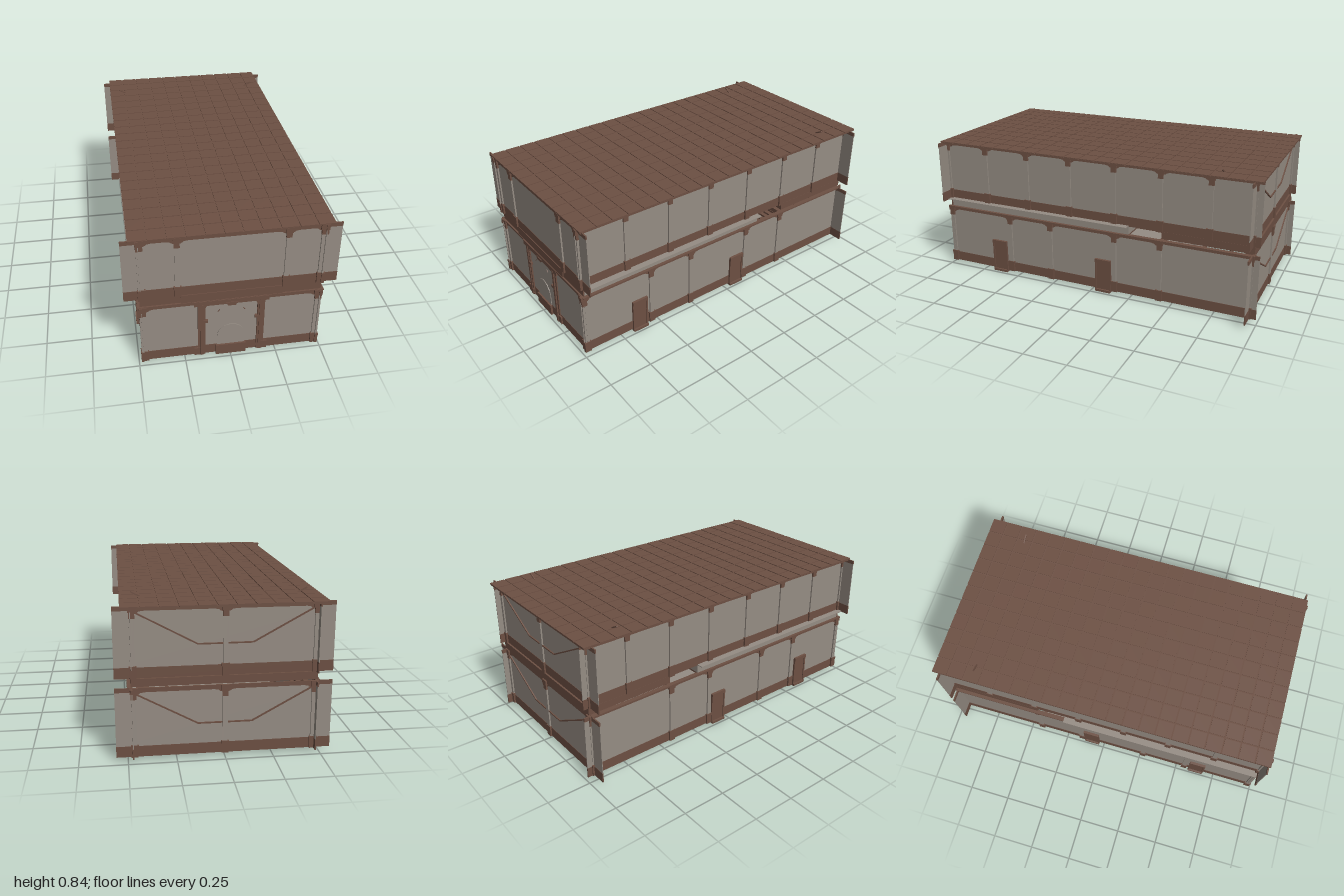
import * as THREE from 'three';

const plaster = new THREE.MeshStandardMaterial({ name: 'greyPlaster', color: 0x968d84 });
const wood = new THREE.MeshStandardMaterial({ name: 'brownWood', color: 0x6d5043 });

// box given by its minimum and maximum corners
function box(parent, name, mat, x0, x1, y0, y1, z0, z1) {
  const m = new THREE.Mesh(new THREE.BoxGeometry(x1 - x0, y1 - y0, z1 - z0), mat);
  m.name = name;
  m.position.set((x0 + x1) / 2, (y0 + y1) / 2, (z0 + z1) / 2);
  parent.add(m);
  return m;
}

// flat outline pushed out along +z
function plate(parent, name, mat, shape, depth) {
  const m = new THREE.Mesh(new THREE.ExtrudeGeometry(shape, { depth, bevelEnabled: false, curveSegments: 6 }), mat);
  m.name = name;
  parent.add(m);
}

// pilaster facing +z: grey shaft, stepped brown base and capital
function pilaster(parent, u, y0, y1) {
  const g = new THREE.Group();
  g.name = 'pilaster';
  box(g, 'shaft', plaster, u - 0.013, u + 0.013, y0 + 0.06, y1 - 0.05, -0.004, 0.009);
  box(g, 'base', wood, u - 0.018, u + 0.018, y0, y0 + 0.05, -0.004, 0.012);
  box(g, 'baseRing', wood, u - 0.02, u + 0.02, y0 + 0.05, y0 + 0.066, -0.004, 0.013);
  box(g, 'neck', wood, u - 0.015, u + 0.015, y1 - 0.06, y1 - 0.03, -0.004, 0.011);
  box(g, 'capital', wood, u - 0.02, u + 0.02, y1 - 0.03, y1, -0.004, 0.013);
  parent.add(g);
}

// thin carved fringe under the cornice, deeper next to the pilasters
function fringe(parent, a, b, y) {
  const s = new THREE.Shape();
  s.moveTo(a, y);
  s.lineTo(a, y - 0.018);
  s.quadraticCurveTo(a + 0.028, y - 0.016, a + 0.034, y - 0.006);
  s.lineTo(a + 0.055, y - 0.002);
  s.lineTo(b - 0.055, y - 0.002);
  s.lineTo(b - 0.034, y - 0.006);
  s.quadraticCurveTo(b - 0.028, y - 0.016, b, y - 0.018);
  s.lineTo(b, y);
  plate(parent, 'carvedFringe', wood, s, 0.003);
}

// one wall built along x with its outside towards +z
function wall(name, half, y0, y1, posts) {
  const g = new THREE.Group();
  g.name = name;
  box(g, 'plasterPanel', plaster, -half, half, y0 + 0.055, y1 - 0.02, -0.004, 0);
  box(g, 'skirting', wood, -half, half, y0, y0 + 0.058, -0.005, 0.002);
  box(g, 'cornice', wood, -half, half, y1 - 0.022, y1, -0.005, 0.003);
  for (const u of posts) pilaster(g, u, y0, y1);
  const s = [...posts].sort((a, b) => a - b);
  for (let i = 1; i < s.length; i++) fringe(g, s[i - 1], s[i], y1 - 0.021);
  return g;
}

// handrail with a level middle and rising ends
function handrail(parent, y, z, mid, top) {
  const pts = [[-0.46, top], [-0.14, mid], [0.14, mid], [0.46, top]];
  for (let i = 0; i < 3; i++) {
    const [ax, ay] = pts[i], [bx, by] = pts[i + 1];
    const m = new THREE.Mesh(new THREE.BoxGeometry(Math.hypot(bx - ax, by - ay), 0.007, 0.007), wood);
    m.name = 'handrail';
    m.position.set((ax + bx) / 2, y + (ay + by) / 2, z);
    m.rotation.z = Math.atan2(by - ay, bx - ax);
    parent.add(m);
  }
}

function sideDoor(parent, u) {
  const g = new THREE.Group();
  g.name = 'sideDoor';
  box(g, 'doorLeaf', wood, u - 0.042, u + 0.042, 0.012, 0.195, -0.004, 0.007);
  for (const s of [-1, 1]) box(g, 'doorJamb', wood, u + s * 0.045 - 0.005, u + s * 0.045 + 0.005, 0.01, 0.2, -0.004, 0.012);
  box(g, 'doorLintel', wood, u - 0.05, u + 0.05, 0.193, 0.213, -0.004, 0.015);
  box(g, 'doorStep', wood, u - 0.048, u + 0.048, 0.008, 0.022, -0.004, 0.018);
  parent.add(g);
}

function portal() {
  const g = new THREE.Group();
  g.name = 'portal';
  for (const s of [-1, 1]) {
    const at = (name, a, b, y0, y1, z1) =>
      box(g, name, wood, Math.min(s * a, s * b), Math.max(s * a, s * b), y0, y1, 0, z1);
    at('portalBand', 0.165, 0.18, 0.022, 0.38, 0.006);
    at('portalPost', 0.15, 0.166, 0.022, 0.375, 0.014);
    at('portalPostInner', 0.14, 0.15, 0.022, 0.375, 0.009);
    at('portalBracket', 0.126, 0.15, 0.25, 0.265, 0.014);
    at('postPlinth', 0.145, 0.2, 0.022, 0.07, 0.01);
    // carved corner under the lintel
    const c = new THREE.Shape();
    c.moveTo(s * 0.145, 0.368);
    c.lineTo(s * 0.145, 0.27);
    c.quadraticCurveTo(s * 0.135, 0.3, s * 0.14, 0.34);
    c.quadraticCurveTo(s * 0.135, 0.36, s * 0.12, 0.368);
    plate(g, 'carvedCorner', wood, c, 0.005);
    // small carved ornament above the door
    const o = new THREE.Shape();
    o.moveTo(s * 0.075, 0.312);
    o.lineTo(s * 0.062, 0.325);
    o.lineTo(s * 0.068, 0.312);
    plate(g, 'carvedOrnament', wood, o, 0.004);
  }
  box(g, 'portalLintel', wood, -0.2, 0.2, 0.366, 0.395, 0, 0.012);
  const key = new THREE.Shape();
  [[-0.033, 0.378], [-0.02, 0.356], [0.02, 0.356], [0.033, 0.378]].forEach(([x, y], i) => (i ? key.lineTo(x, y) : key.moveTo(x, y)));
  plate(g, 'keystone', wood, key, 0.015);
  box(g, 'threshold', wood, -0.082, 0.082, 0.014, 0.078, 0, 0.014);
  // arched door panel
  const a = new THREE.Shape();
  a.moveTo(-0.075, 0.07);
  a.lineTo(0.075, 0.07);
  a.lineTo(0.075, 0.14);
  a.absarc(0, 0.14, 0.075, 0, Math.PI, false);
  plate(g, 'archedDoor', plaster, a, 0.004);
  return g;
}

function staircase() {
  const g = new THREE.Group();
  g.name = 'staircase';
  // rounded foot of the stairs with a wooden rim
  const dais = new THREE.Mesh(new THREE.CylinderGeometry(0.22, 0.22, 0.012, 28, 1, false, Math.PI / 2, Math.PI), plaster);
  dais.name = 'roundedFoot';
  dais.position.set(0, 0.027, -0.43);
  const rim = new THREE.Mesh(new THREE.TorusGeometry(0.22, 0.006, 6, 28, Math.PI), wood);
  rim.name = 'roundedFootRim';
  rim.rotation.x = -Math.PI / 2;
  rim.position.copy(dais.position);
  g.add(dais, rim);
  // central flight, landing, then two side flights
  for (let i = 0; i < 6; i++) {
    const y = 0.045 + i * 0.013, z = -0.59 - i * 0.028;
    box(g, 'centralStep', wood, -0.14, 0.14, y - 0.013, y, z - 0.03, z);
  }
  box(g, 'landing', wood, -0.15, 0.15, 0.105, 0.118, -0.945, -0.75);
  for (const s of [-1, 1]) for (let i = 0; i < 13; i++) {
    const x = s * (0.16 + i * 0.023), y = 0.135 + i * 0.02;
    box(g, 'sideStep', wood, x - 0.0125, x + 0.0125, y - 0.02, y, -0.945, -0.77);
  }
  return g;
}

export function createModel() {
  const model = new THREE.Group();
  model.name = 'twoStoreyHall';

  const storeys = [
    { y0: 0.022, y1: 0.395, frontHalf: 0.485, front: [-0.465, 0.465], side: [0.975, 0.55, 0.27, -0.15, -0.43] },
    { y0: 0.445, y1: 0.815, frontHalf: 0.56, front: [-0.465, -0.283, 0.283, 0.465], side: [0.975, 0.7, 0.415, 0.135, -0.15, -0.43, -0.715] },
  ];
  storeys.forEach(({ y0, y1, frontHalf, front, side }, level) => {
    const f = wall('frontWall', frontHalf, y0, y1, front);
    f.position.z = 0.976;
    if (level === 0) f.add(portal());
    const b = wall('backWall', 0.56, y0, y1, [-0.465, 0, 0.465]);
    b.rotation.y = Math.PI;
    b.position.z = -0.953;
    handrail(b, y0, 0.004, 0.17, 0.345);
    model.add(f, b);
    for (const s of [-1, 1]) {
      const w = wall(s > 0 ? 'leftWall' : 'rightWall', 0.993, y0, y1, side.map((z) => -s * z));
      w.rotation.y = (s * Math.PI) / 2;
      w.position.x = s * 0.475;
      if (level === 0) for (const z of [0.63, -0.08]) sideDoor(w, -s * z);
      model.add(w);
    }
    handrail(model, y0, -0.76, 0.23, level ? 0.398 : 0.396);
  });

  // ground floor, open beneath the stairs
  box(model, 'groundFloor', plaster, -0.475, 0.475, 0.022, 0.03, -0.43, 0.976);
  box(model, 'floorEdgeBeam', wood, -0.475, 0.475, 0.021, 0.034, -0.45, -0.43);
  for (const s of [-1, 1]) {
    const x = s * 0.142;
    box(model, 'stairPostFoot', wood, x - 0.019, x + 0.019, 0.002, 0.085, -0.456, -0.405);
    box(model, 'stairPost', plaster, x - 0.012, x + 0.012, 0.085, 0.345, -0.45, -0.426);
    box(model, 'stairPostCapital', wood, x - 0.019, x + 0.019, 0.34, 0.395, -0.456, -0.42);
  }
  box(model, 'stairBeam', wood, -0.475, 0.475, 0.37, 0.395, -0.45, -0.426);
  model.add(staircase());

  // ceiling ledge and floor between the storeys, with a gap over the stairs
  box(model, 'lowerCeiling', wood, -0.495, 0.495, 0.388, 0.397, -0.24, 0.985);
  for (const s of [-1, 1]) box(model, 'ceilingLedge', wood, s * 0.482 - 0.013, s * 0.482 + 0.013, 0.388, 0.397, -0.953, -0.24);
  box(model, 'upperFloorCore', plaster, -0.478, 0.478, 0.397, 0.446, -0.24, 0.968);
  box(model, 'upperFloor', plaster, -0.515, 0.515, 0.446, 0.451, -0.24, 0.972);
  box(model, 'upperFloorFront', wood, -0.48, 0.48, 0.397, 0.447, 0.968, 0.976);
  box(model, 'frontBalcony', wood, -0.27, 0.27, 0.395, 0.447, 0.976, 0.982);
  box(model, 'backGallery', wood, -0.478, 0.478, 0.405, 0.447, -0.965, -0.44);

  // flat roof with a grid of raised panels
  const roof = new THREE.Group();
  roof.name = 'roof';
  box(roof, 'roofSlab', wood, -0.522, 0.522, 0.808, 0.817, -0.992, 0.987);
  const nx = 11, nz = 21, px = 1.05 / nx, pz = 1.99 / nz;
  for (let i = 0; i < nx; i++) for (let j = 0; j < nz; j++) {
    const x = -0.525 + i * px, z = -0.998 + j * pz;
    box(roof, 'roofPanel', wood, x + 0.004, x + px - 0.004, 0.815, 0.821, z + 0.004, z + pz - 0.004);
  }
  model.add(roof);
  return model;
}
